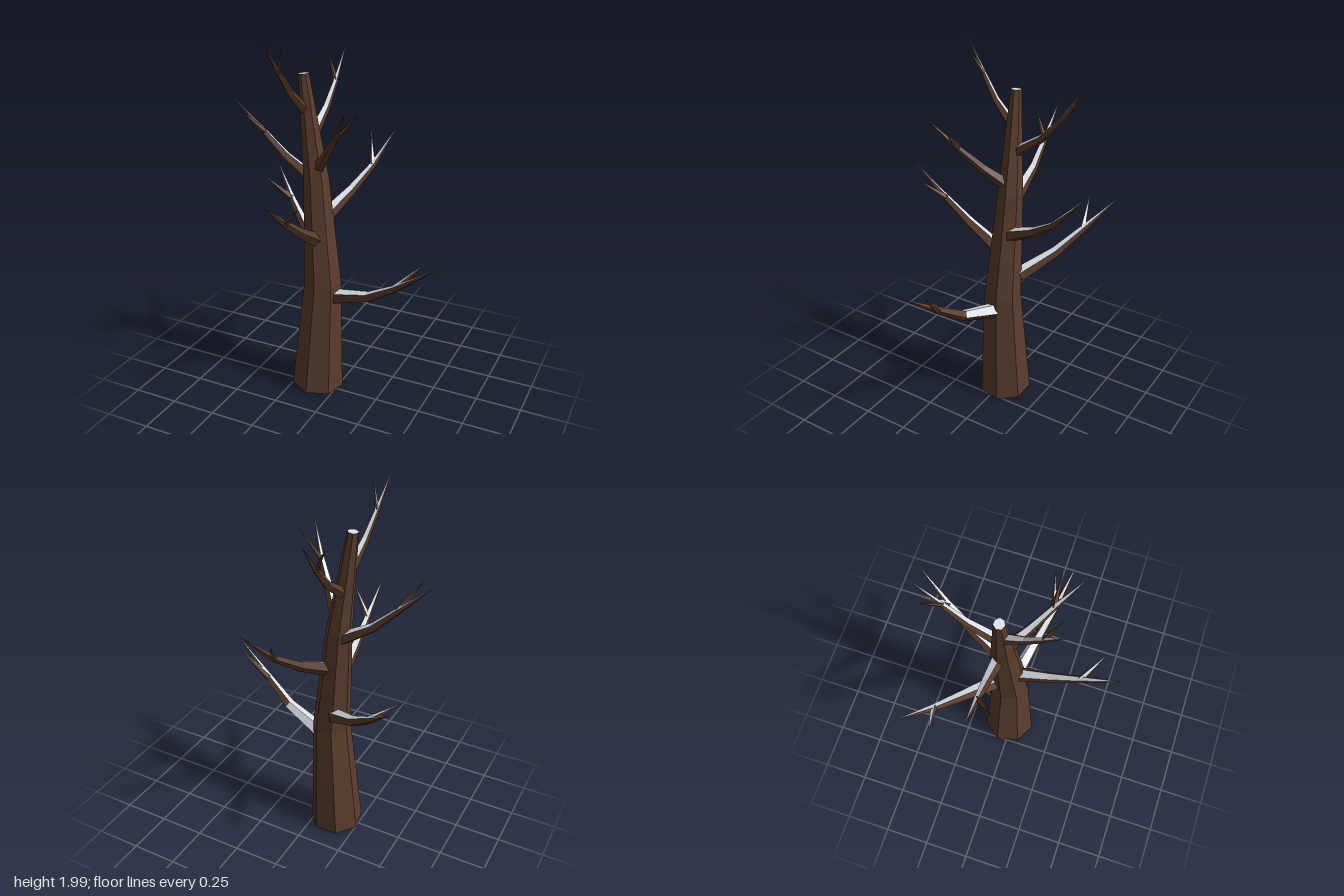
import * as THREE from 'three';

const bark = new THREE.MeshStandardMaterial({ color: 0x5a3d2d });
bark.name = 'bark';
const snow = new THREE.MeshStandardMaterial({ color: 0xe6eaf0 });
snow.name = 'snow';
const UP = new THREE.Vector3(0, 1, 0);

// Skins cross-sections with flat faces; faces that look upward get snow.
function loft(name, rings, threshold) {
  const lists = [[], []];
  const normal = new THREE.Vector3();
  const addFace = (pts) => {
    const diagA = pts[2].clone().sub(pts[0]);
    const diagB = pts[pts.length - 1].clone().sub(pts[1]);
    normal.crossVectors(diagA, diagB).normalize();
    const list = lists[normal.y > threshold ? 1 : 0];
    for (let i = 1; i < pts.length - 1; i++) {
      for (const p of [pts[0], pts[i], pts[i + 1]]) list.push(p.x, p.y, p.z);
    }
  };
  for (let k = 0; k < rings.length - 1; k++) {
    const a = rings[k], b = rings[k + 1], n = a.length;
    for (let i = 0; i < n; i++) {
      const j = (i + 1) % n;
      addFace(b.length === 1 ? [a[i], a[j], b[0]] : [a[i], a[j], b[j], b[i]]);
    }
  }
  addFace([...rings[0]].reverse());
  const last = rings[rings.length - 1];
  if (last.length > 1) addFace(last);

  const geometry = new THREE.BufferGeometry();
  geometry.setAttribute('position', new THREE.Float32BufferAttribute([...lists[0], ...lists[1]], 3));
  geometry.addGroup(0, lists[0].length / 3, 0);
  geometry.addGroup(lists[0].length / 3, lists[1].length / 3, 1);
  geometry.computeVertexNormals();
  const mesh = new THREE.Mesh(geometry, [bark, snow]);
  mesh.name = name;
  return mesh;
}

// Five-sided limb along a bent path, ending in a point.
function limb(name, path, radii, threshold) {
  const pts = path.map((p) => new THREE.Vector3(...p));
  const rings = pts.map((p, k) => {
    if (k === pts.length - 1) return [p];
    const dir = pts[k + 1].clone().sub(pts[Math.max(k - 1, 0)]).normalize();
    const side = dir.clone().cross(UP).normalize();
    const up = side.clone().cross(dir);
    return Array.from({ length: 5 }, (_, i) => {
      const a = THREE.MathUtils.degToRad(51 + 72 * i);
      return p.clone()
        .addScaledVector(up, radii[k] * Math.cos(a))
        .addScaledVector(side, radii[k] * Math.sin(a));
    });
  });
  return loft(name, rings, threshold);
}

// Seven-sided leaning trunk: x, y, z, radius, tilt of the ring
function trunk() {
  const levels = [
    [-0.122, 0.02, -0.02, 0.145, -0.075],
    [-0.085, 0.67, -0.02, 0.102, 0],
    [-0.127, 1.25, -0.035, 0.068, 0.08],
    [-0.188, 1.79, -0.026, 0.028, 0.1],
  ];
  const rings = levels.map(([x, y, z, r, tilt]) => Array.from({ length: 7 }, (_, i) => {
    const a = THREE.MathUtils.degToRad(-12) - (i * Math.PI * 2) / 7;
    const dx = r * Math.cos(a);
    return new THREE.Vector3(x + dx, y + dx * tilt, z + r * Math.sin(a));
  }));
  return loft('trunk', rings, 0.52);
}

// Each branch: path from trunk to tip, base radius, twig tip, snow on twig
const BRANCHES = [
  { path: [[-0.02, 0.585, -0.015], [0.21, 0.66, 0.037], [0.37, 0.765, 0.085], [0.61, 0.95, 0.142]],
    r: 0.045, twig: [0.525, 0.93, 0.035 - 0.0], snowy: true },
  { path: [[-0.08, 1.04, -0.07], [-0.02, 1.13, -0.24], [0.04, 1.235, -0.385], [0.115, 1.42, -0.555]],
    r: 0.039, twig: [-0.03, 1.385, -0.52], snowy: true },
  { path: [[-0.14, 0.775, -0.09], [-0.3, 0.88, -0.22], [-0.43, 0.99, -0.315], [-0.59, 1.15, -0.445]],
    r: 0.042, twig: [-0.59, 1.12, -0.27], snowy: true },
  { path: [[-0.15, 1.225, -0.055], [-0.32, 1.335, -0.06], [-0.44, 1.45, -0.055], [-0.61, 1.61, -0.045]],
    r: 0.036, twig: [-0.525, 1.585, 0.052], snowy: false },
  { path: [[-0.15, 1.475, -0.05], [-0.15, 1.58, -0.2], [-0.148, 1.7, -0.31], [-0.15, 1.865, -0.44]],
    r: 0.031, twig: [-0.23, 1.845, -0.375], snowy: false },
  { path: [[-0.178, 1.605, -0.015], [-0.195, 1.71, 0.095], [-0.212, 1.83, 0.18], [-0.235, 2.0, 0.29]],
    r: 0.028, twig: [-0.155, 1.97, 0.245], snowy: false },
  { path: [[-0.115, 1.3, -0.03], [-0.02, 1.41, 0.065], [0.07, 1.53, 0.15], [0.178, 1.7, 0.268]],
    r: 0.035, twig: [0.195, 1.67, 0.145], snowy: false },
  { path: [[-0.105, 0.915, 0.01], [-0.102, 1.03, 0.2], [-0.1, 1.14, 0.355], [-0.1, 1.295, 0.55]],
    r: 0.041, twig: [0.028, 1.27, 0.45], snowy: true },
];
BRANCHES[0].twig[2] = -0.0 + 0.037 - 0.0;

export function createModel() {
  const model = new THREE.Group();
  model.name = 'bareTree';
  model.add(trunk());
  for (const { path, r, twig, snowy } of BRANCHES) {
    const group = new THREE.Group();
    group.name = 'branch';
    group.add(limb('bough', path, [r, r * 0.68, r * 0.45], 0.52));
    group.add(limb('twig', [path[2], twig], [r * 0.45], snowy ? 0.5 : 2));
    model.add(group);
  }
  return model;
}
